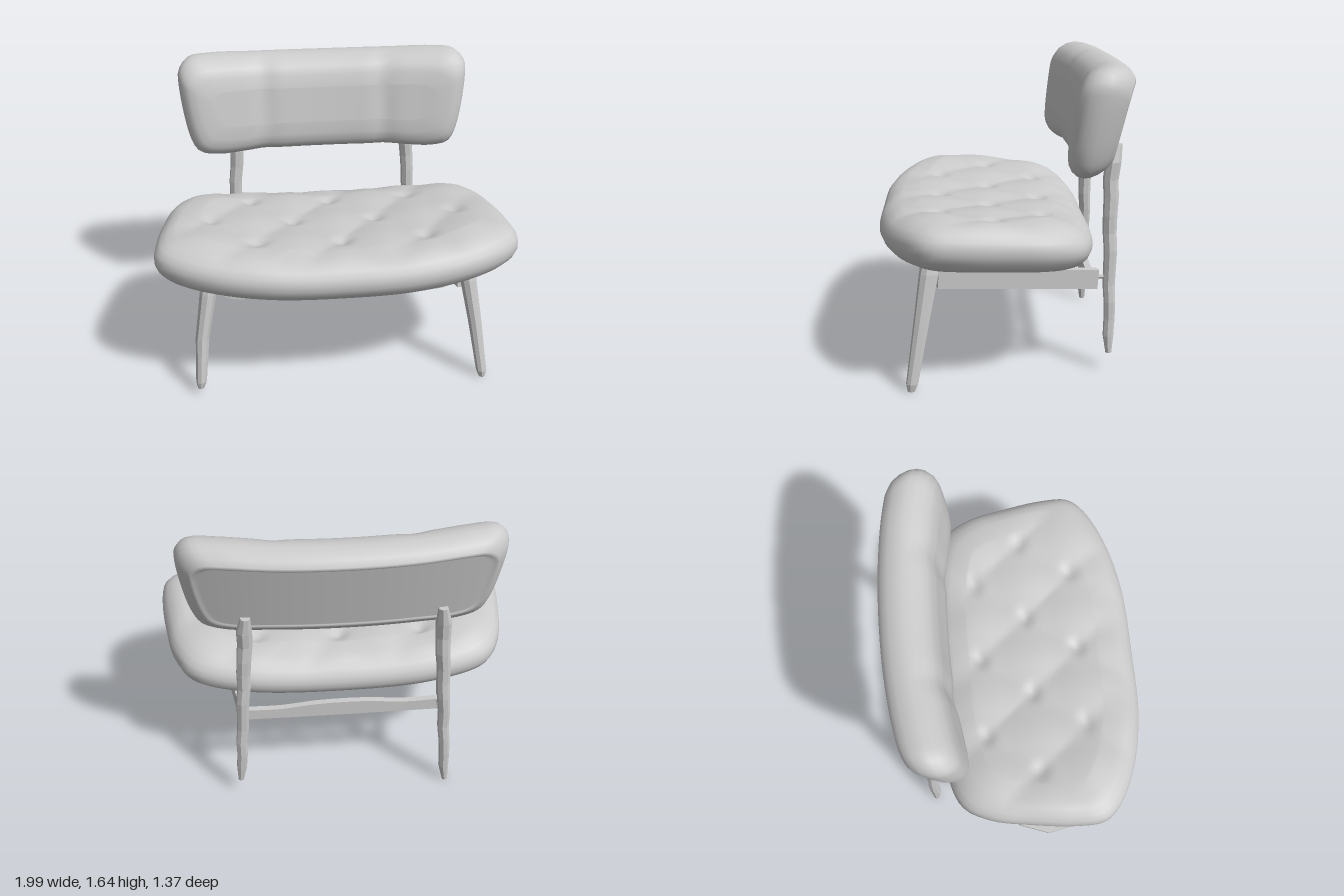
import * as THREE from 'three';

const smooth = new THREE.MeshStandardMaterial({ color: 0xcccccc });
const faceted = new THREE.MeshStandardMaterial({ color: 0xcccccc, flatShading: true, side: THREE.DoubleSide });
const V = (x, y, z) => new THREE.Vector3(x, y, z);
const V2 = ([x, y]) => new THREE.Vector2(x, y);

// Closed counter-clockwise outline, mirrored from its right half.
function outline(half, count) {
  const left = half.slice(1, -1).reverse().map(([u, v]) => [-u, v]);
  const curve = new THREE.CatmullRomCurve3([...half, ...left].map(([u, v]) => V(u, v, 0)), true);
  return curve.getSpacedPoints(count).slice(0, count);
}

// Upholstered body: rings run from the middle of the underside, round the
// rim profile [inset, w], to the middle of the top; place() bends each point.
function cushion(half, profile, hu, hv, cv, place) {
  const count = 128, fill = 28;
  const rim = outline(half, count);
  const rings = [];
  const first = profile[0], last = profile[profile.length - 1];
  for (let i = 0; i < fill; i++) rings.push([first[0], first[1], i / fill]);
  for (const [inset, w] of profile) rings.push([inset, w, 1]);
  for (let i = fill - 1; i >= 0; i--) rings.push([last[0], last[1], i / fill]);
  const pos = [], index = [];
  rings.forEach(([inset, w, k], i) => {
    rim.forEach((p, j) => {
      const u = p.x * (1 - inset / hu) * k;
      const v = cv + (p.y - cv) * (1 - inset / hv) * k;
      pos.push(...place(u, v, w));
      if (i === rings.length - 1) return;
      const n = (j + 1) % count;
      const a = i * count + j, b = i * count + n, c = b + count, d = a + count;
      index.push(a, b, c, a, c, d);
    });
  });
  const g = new THREE.BufferGeometry();
  g.setAttribute('position', new THREE.Float32BufferAttribute(pos, 3));
  g.setIndex(index);
  g.computeVertexNormals();
  return g;
}

// Tapered faceted post through [x, y, z, radiusX, radiusZ] stations.
function post(stations, sides = 8) {
  const pos = [], index = [];
  stations.forEach(([x, y, z, rx, rz], i) => {
    for (let j = 0; j < sides; j++) {
      const a = (j / sides) * Math.PI * 2 + 0.25;
      pos.push(x + Math.cos(a) * rx, y, z + Math.sin(a) * rz);
      if (i === 0) continue;
      const n = (j + 1) % sides, lo = (i - 1) * sides, hi = i * sides;
      index.push(lo + j, hi + j, hi + n, lo + j, hi + n, lo + n);
    }
  });
  const top = (stations.length - 1) * sides;
  for (let j = 1; j < sides - 1; j++) index.push(0, j, j + 1, top, top + j + 1, top + j);
  const g = new THREE.BufferGeometry();
  g.setAttribute('position', new THREE.Float32BufferAttribute(pos, 3));
  g.setIndex(index);
  g.computeVertexNormals();
  return g;
}

// Rectangular bar between two points.
function bar(a, b, width, height) {
  const g = new THREE.BoxGeometry(width, height, a.distanceTo(b));
  const m = new THREE.Matrix4().lookAt(a, b, V(0, 1, 0));
  m.setPosition(a.clone().add(b).multiplyScalar(0.5));
  return g.applyMatrix4(m);
}

// Slab cut to a lower and an upper edge curve, both given left to right.
function wavySlab(lower, upper, depth, z) {
  const edge = (pts) => new THREE.SplineCurve(pts.map(V2)).getPoints(40);
  const shape = new THREE.Shape([...edge(lower), ...edge(upper).reverse()]);
  return new THREE.ExtrudeGeometry(shape, { depth, bevelEnabled: false }).translate(0, 0, z);
}

export function createModel() {
  const model = new THREE.Group();
  const add = (name, geometry, material = faceted) => {
    const mesh = new THREE.Mesh(geometry, material);
    mesh.name = name;
    model.add(mesh);
    return mesh;
  };

  // Seat cushion: dished across, raised at the front, with diamond tufting
  const buttons = [];
  for (const x of [-0.46, 0, 0.46]) buttons.push([x, -0.2], [x + 0.02, 0.36]);
  for (const x of [-0.69, -0.23, 0.23, 0.69]) buttons.push([x, 0.08]);
  const seatHalf = [[0, -0.68], [0.4, -0.668], [0.7, -0.6], [0.9, -0.5], [0.98, -0.41], [0.99, -0.25],
    [0.958, 0], [0.91, 0.22], [0.815, 0.37], [0.55, 0.45], [0, 0.47]];
  const seatProfile = [[0.12, 0], [0.085, 0.01], [0.045, 0.09], [0.016, 0.22], [0, 0.38], [0.001, 0.53],
    [0.01, 0.67], [0.035, 0.8], [0.072, 0.9], [0.12, 0.965], [0.2, 1]];
  add('seatCushion', cushion(seatHalf, seatProfile, 0.99, 0.575, -0.105, (x, v, h) => {
    const z = -v;
    const bottom = 0.6 + 0.05 * z + 0.06 * x * x;
    const a = x / 0.46 + (z + 0.2) / 0.56, b = x / 0.46 - (z + 0.2) / 0.56;
    const puff = Math.abs(Math.sin(Math.PI * a) * Math.sin(Math.PI * b));
    let top = 0.83 + 0.05 * z + 0.075 * x * x - 0.25 * Math.max(0, -z - 0.2) ** 2;
    const mask = Math.max(0, (h - 0.75) / 0.25);
    top += 0.02 * puff * mask;
    for (const [bx, bz] of buttons) {
      top -= 0.025 * mask * Math.exp(-((x - bx) ** 2 + (z - bz) ** 2) / 0.002);
    }
    return [x, bottom + (top - bottom) * h, z];
  }), smooth);

  // Backrest: leaning back, thicker at the top, wrapped forward at the ends, with two soft seams
  const backHalf = [[0, -0.28], [0.4, -0.28], [0.64, -0.285], [0.74, -0.255], [0.785, -0.17], [0.835, 0.14],
    [0.83, 0.215], [0.775, 0.275], [0.65, 0.285], [0.4, 0.275], [0, 0.27]];
  const backProfile = [[0.09, -0.118], [0.085, -0.125], [0.072, -0.12], [0.04, -0.095], [0.017, -0.06],
    [0.003, -0.02], [0, 0.015], [0.009, 0.055], [0.03, 0.09], [0.062, 0.117], [0.11, 0.132], [0.18, 0.138]];
  add('backrestCushion', cushion(backHalf, backProfile, 0.83, 0.285, 0, (x, v, w) => {
    const bend = 0.08 * (Math.abs(x) / 0.75) ** 2.2;
    const seam = w > 0.04 ? 0.014 * Math.exp(-((Math.abs(x) - 0.35) ** 2) / 0.004) : 0;
    return [x, 1.355 + v, -0.518 + w * (1 + 0.35 * v) - 0.21 * v + bend - seam];
  }), smooth);

  for (const s of [1, -1]) {
    const side = s > 0 ? 'left' : 'right';
    // Splayed front leg
    const foot = s > 0 ? [0.81, 0, 0.5] : [0.785, 0.04, 0.495];
    add(side + 'FrontLeg', post([
      [s * foot[0], foot[1], foot[2], 0.018, 0.02],
      [s * (foot[0] - 0.005), foot[1] + 0.04, foot[2] - 0.005, 0.03, 0.032],
      [s * 0.76, 0.34, 0.445, 0.038, 0.042],
      [s * 0.715, 0.6, 0.402, 0.046, 0.052],
      [s * 0.705, 0.66, 0.395, 0.04, 0.045],
    ], 9));

    // Slightly knotty back leg running up to the backrest
    const base = s > 0 ? 0.1 : 0;
    const stations = [];
    for (let i = 0; i <= 12; i++) {
      const t = i / 12, y = base + (1.22 - base) * t;
      const r = (0.027 + 0.017 * t) * (i === 0 || i === 12 ? 0.6 : 1);
      stations.push([s * (0.585 - 0.08 * (y / 1.22)) + 0.003 * Math.sin(i * 2.3 + s), y,
        -0.544 - 0.03 * Math.max(0, t - 0.85) / 0.15 + 0.003 * Math.sin(i * 1.9), r, r]);
    }
    add(side + 'BackLeg', post(stations));

    // Peg joining the side rail to the back leg
    const peg = new THREE.CylinderGeometry(0.012, 0.012, 0.08, 8).rotateX(Math.PI / 2);
    add(side + 'RailPeg', peg.translate(s * 0.545, 0.515, -0.5));
  }

  // Deep left side rail, and a slim right one set close under the seat
  add('leftSideRail', bar(V(0.69, 0.567, 0.36), V(0.54, 0.502, -0.48), 0.045, 0.104));
  add('rightSideRail', bar(V(-0.69, 0.6, 0.36), V(-0.54, 0.515, -0.48), 0.035, 0.045));

  // Rear cross rail with a gently waved top
  add('rearCrossRail', wavySlab(
    [[-0.55, 0.46], [0, 0.46], [0.55, 0.465]],
    [[-0.55, 0.53], [-0.35, 0.525], [-0.12, 0.545], [0.12, 0.545], [0.35, 0.525], [0.55, 0.53]], 0.035, -0.465));

  // Scalloped front cross rail
  const wave = [[-0.7, 0.61], [-0.56, 0.55], [-0.42, 0.57], [-0.28, 0.55], [-0.1, 0.59],
    [0.1, 0.59], [0.28, 0.545], [0.42, 0.57], [0.56, 0.55], [0.7, 0.61]];
  const shifted = (dy) => wave.map(([x, y]) => [x, y + dy]);
  add('frontCrossRail', wavySlab(shifted(-0.02), shifted(0.02), 0.04, 0.35));

  // Thin base board whose corner shows past the right end of the seat
  const board = new THREE.Shape([[-0.6, -0.36], [-0.6, 0.15], [-0.94, 0.06], [-1, -0.1], [-0.96, -0.28]].map(V2));
  const boardMesh = add('baseBoard', new THREE.ExtrudeGeometry(board, { depth: 0.015, bevelEnabled: false })
    .rotateX(-Math.PI / 2));
  boardMesh.position.y = 0.585;
  boardMesh.rotation.z = -0.075;

  return model;
}
